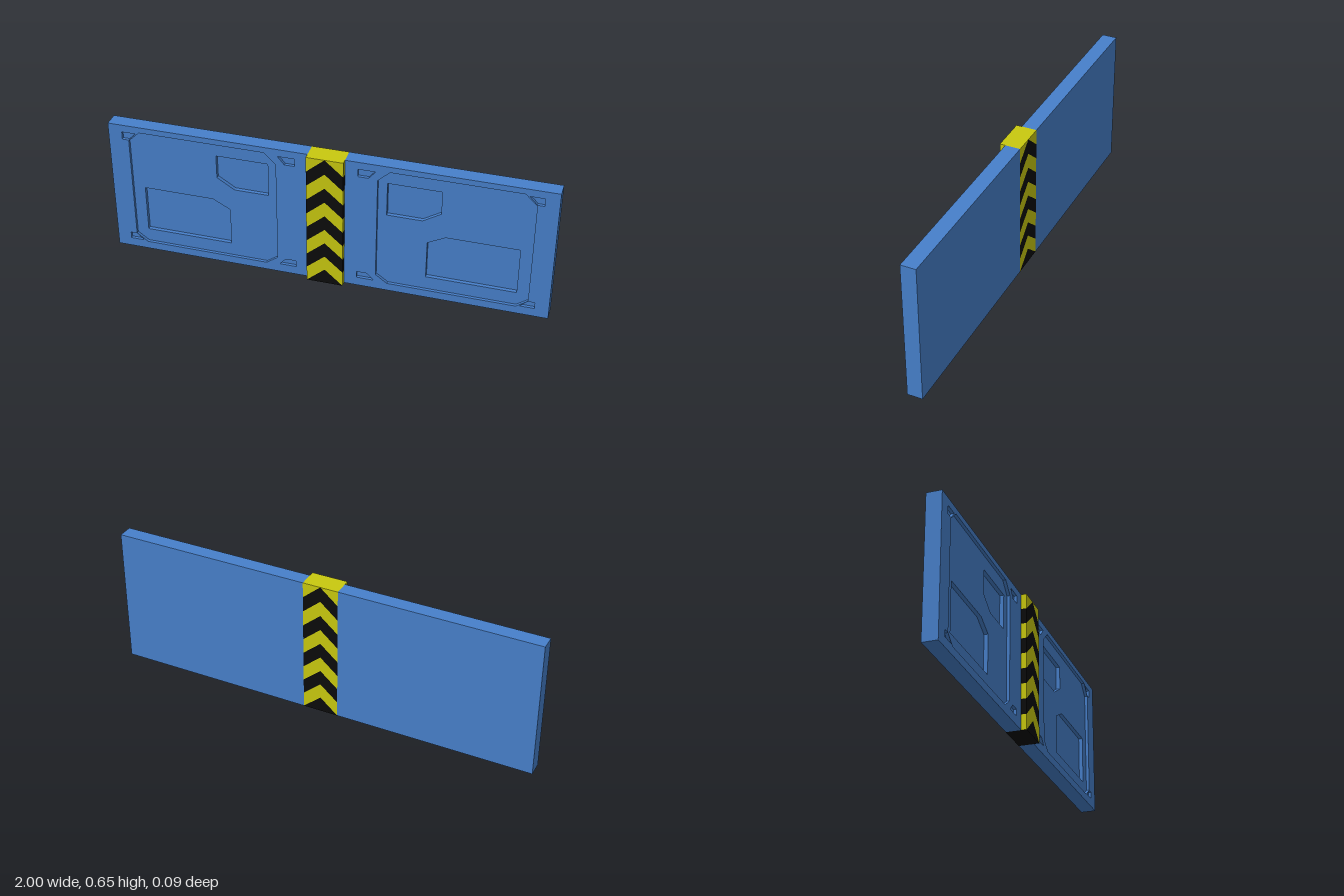
import * as THREE from 'three';
import { mergeGeometries } from 'three/addons/utils/BufferGeometryUtils.js';

const H = 0.647, W = 0.083;                  // wall height, half width of the striped post
const BACK = -0.047, FRONT = 0.022, POST = 0.047;
const PANEL = 0.008, POCKET = -0.01, CLIP = 0.008; // floor depths of the recesses

const mat = (color) => new THREE.MeshStandardMaterial({ color, flatShading: true });

// Flat polygon with holes, facing +z (or -z when back is true)
function face(points, z, holes = [], back = false) {
  const shape = new THREE.Shape(points);
  shape.holes = holes.map((h) => new THREE.Path(h));
  const g = new THREE.ShapeGeometry(shape);
  g.translate(0, 0, z);
  if (back) {
    g.index.array.reverse();
    const n = g.attributes.normal;
    for (let i = 0; i < n.count; i++) n.setZ(i, -1);
  }
  return g.toNonIndexed();
}

// Walls along an outline between two depths, facing outward or inward
function walls(points, z0, z1, inward, keep = () => true) {
  const pts = THREE.ShapeUtils.isClockWise(points) ? [...points].reverse() : points;
  const pos = [];
  pts.forEach((p, i) => {
    let a = p, b = pts[(i + 1) % pts.length];
    if (!keep(a, b)) return;
    if (inward) [a, b] = [b, a];
    pos.push(a.x, a.y, z0, b.x, b.y, z0, b.x, b.y, z1, a.x, a.y, z0, b.x, b.y, z1, a.x, a.y, z1);
  });
  const g = new THREE.BufferGeometry();
  g.setAttribute('position', new THREE.Float32BufferAttribute(pos, 3));
  g.setAttribute('uv', new THREE.Float32BufferAttribute(new Float32Array(pos.length / 3 * 2), 2));
  g.computeVertexNormals();
  return g;
}

// Outlines for the +x half
const OUTER = [[W, 0], [1, 0], [1, H], [W, H]];
const FRAME = [[0.28, 0.037], [0.855, 0.037], [0.907, 0.075], [0.907, 0.57], [0.855, 0.62],
  [0.28, 0.62], [0.227, 0.57], [0.227, 0.075]];
const UPPER = [[0.267, 0.555], [0.267, 0.393], [0.425, 0.393], [0.505, 0.443], [0.505, 0.555]];
const LOWER = [[0.45, 0.1], [0.853, 0.1], [0.853, 0.325], [0.53, 0.325], [0.45, 0.283]];
const CLIPS = [
  [[0.14, 0.612], [0.218, 0.612], [0.187, 0.575], [0.14, 0.575]],
  [[0.872, 0.612], [0.937, 0.612], [0.937, 0.575], [0.907, 0.575]],
  [[0.14, 0.042], [0.218, 0.042], [0.187, 0.073], [0.14, 0.073]],
  [[0.872, 0.042], [0.937, 0.042], [0.937, 0.073], [0.907, 0.073]],
];

// One half of the wall with its recessed panel, pockets and corner clips
function wallHalf(s) {
  const side = (pts) => pts.map(([x, y]) => new THREE.Vector2(s * x, y));
  const outer = side(OUTER), frame = side(FRAME);
  const pockets = [UPPER, LOWER].map(side), clips = CLIPS.map(side);
  const atPost = (p) => Math.abs(p.x) < W + 1e-6;
  const parts = [
    face(outer, FRONT, [frame, ...clips]),
    face(outer, BACK, [], true),
    walls(outer, BACK, FRONT, false, (a, b) => !(atPost(a) && atPost(b))),
    face(frame, PANEL, pockets),
    walls(frame, PANEL, FRONT, true),
  ];
  for (const p of pockets) parts.push(face(p, POCKET), walls(p, POCKET, PANEL, true));
  for (const c of clips) parts.push(face(c, CLIP), walls(c, CLIP, FRONT, true));
  return mergeGeometries(parts);
}

// Centre post: chevron bands front and back, straight bands on the sides
function postGeometries() {
  const yellow = [], black = [], bands = 9, h = H / bands;
  const level = (k) => THREE.MathUtils.clamp(k, 0, bands) * h;
  for (let k = -1; k < bands; k++) {
    const list = k % 2 === 0 ? yellow : black;
    for (const s of [-1, 1]) {
      const quad = [[0, level(k + 1)], [s * W, level(k)], [s * W, level(k + 1)], [0, level(k + 2)]]
        .map(([x, y]) => new THREE.Vector2(x, y));
      const pts = quad.filter((p, i) => !p.equals(quad[(i + 1) % 4]));
      list.push(face(pts, POST), face(pts, BACK, [], true));
      if (k >= 0) {
        const strip = new THREE.PlaneGeometry(POST - FRONT, h);
        strip.rotateY(s * Math.PI / 2);
        strip.translate(s * W, (k + 0.5) * h, (POST + FRONT) / 2);
        list.push(strip.toNonIndexed());
      }
    }
  }
  // Yellow top cap and black underside
  for (const [list, y, turn] of [[yellow, H, -1], [black, 0, 1]]) {
    const cap = new THREE.PlaneGeometry(2 * W, POST - BACK);
    cap.rotateX(turn * Math.PI / 2);
    cap.translate(0, y, (POST + BACK) / 2);
    list.push(cap.toNonIndexed());
  }
  return [mergeGeometries(yellow), mergeGeometries(black)];
}

export function createModel() {
  const model = new THREE.Group();
  model.name = 'barrierWall';
  const add = (name, geometry, material, parent = model) => {
    const mesh = new THREE.Mesh(geometry, material);
    mesh.name = name;
    parent.add(mesh);
  };

  const blue = mat(0x4780cb);
  add('leftWall', wallHalf(1), blue);
  add('rightWall', wallHalf(-1), blue);

  const post = new THREE.Group();
  post.name = 'centrePost';
  const [yellow, black] = postGeometries();
  add('yellowStripes', yellow, mat(0xc9c90f), post);
  add('blackStripes', black, mat(0x0b0b0b), post);
  model.add(post);
  return model;
}
